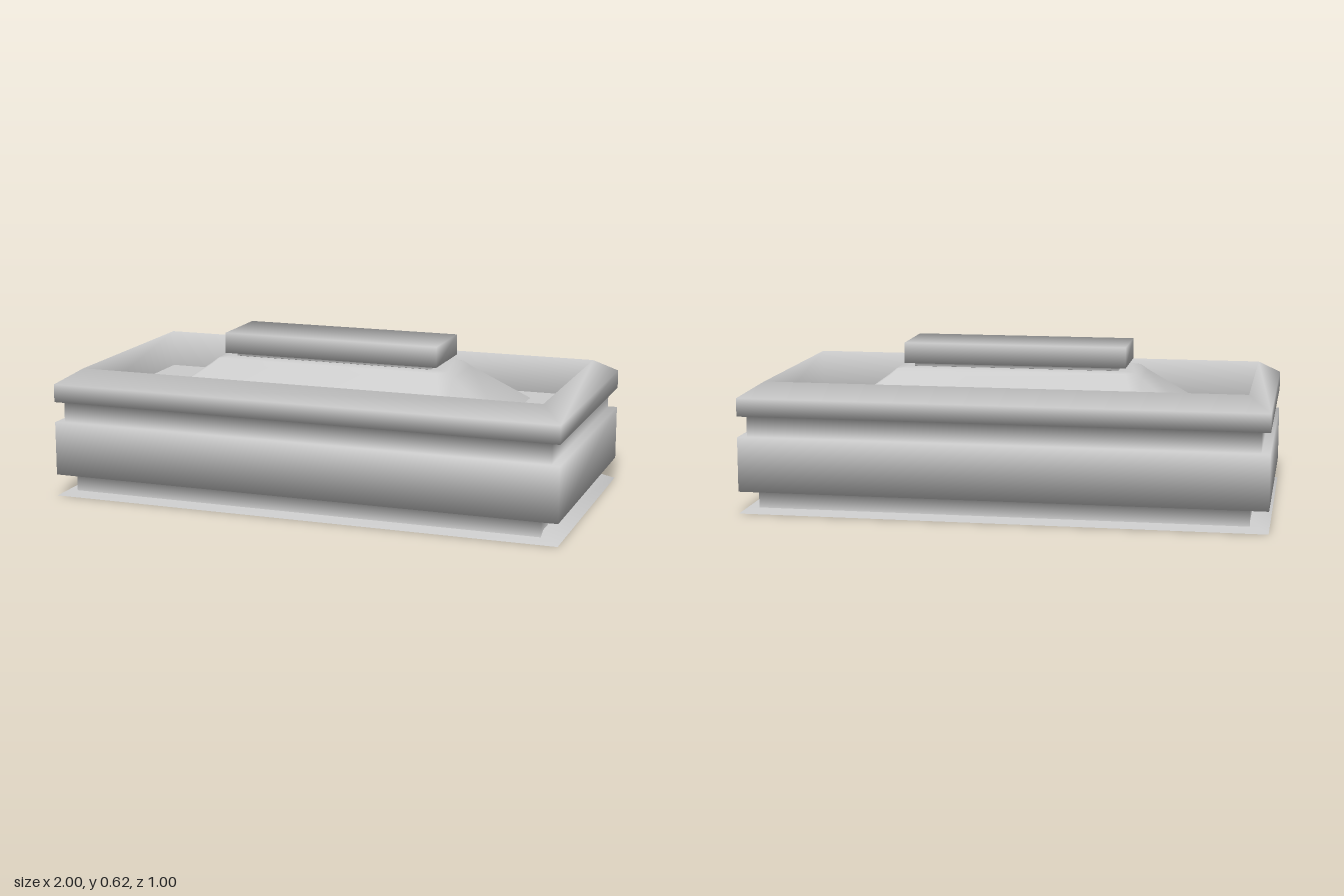
import * as THREE from 'three';

const material = new THREE.MeshStandardMaterial({ color: 0xcccccc, side: THREE.DoubleSide });

// Rectangle loop of half sizes hx, hz; a cut trims two opposite corners strongly, the others slightly
function loop(hx, hz, cut = 0) {
  if (!cut) return [[hx, hz], [hx, -hz], [-hx, -hz], [-hx, hz]];
  const nick = cut / 6;
  const half = [[hx - cut, hz], [hx, hz - cut], [hx, -hz + nick], [hx - nick, -hz]];
  return [...half, ...half.map(([x, z]) => [-x, -z])];
}

// Skin through stacked loops, each given as [hx, hz, y, cut], with evenly averaged normals
function loft(name, sections, capped = false) {
  const points = [];
  const faces = [];
  const n = loop(sections[0][0], sections[0][1], sections[0][3]).length;
  for (const [hx, hz, y, cut] of sections) {
    for (const [x, z] of loop(hx, hz, cut)) points.push(new THREE.Vector3(x, y, z));
  }
  for (let s = 0; s < sections.length - 1; s++) {
    for (let i = 0; i < n; i++) {
      const a = s * n + i;
      const b = s * n + (i + 1) % n;
      faces.push([a, b, b + n, a + n]);
    }
  }
  const top = (sections.length - 1) * n;
  if (capped) faces.push([top, top + 1, top + 2, top + 3]);

  const normals = points.map(() => new THREE.Vector3());
  for (const face of faces) {
    const [a, b, c, d] = face.map((i) => points[i]);
    const normal = c.clone().sub(a).cross(d.clone().sub(b)).normalize();
    for (const i of face) normals[i].add(normal);
  }
  const flatten = (vectors) => vectors.flatMap((v) => v.toArray());
  const geometry = new THREE.BufferGeometry();
  geometry.setAttribute('position', new THREE.Float32BufferAttribute(flatten(points), 3));
  geometry.setAttribute('normal', new THREE.Float32BufferAttribute(flatten(normals.map((v) => v.normalize())), 3));
  geometry.setIndex(faces.flatMap(([a, b, c, d]) => [a, b, c, a, c, d]));
  const mesh = new THREE.Mesh(geometry, material);
  mesh.name = name;
  return mesh;
}

export function createModel() {
  const model = new THREE.Group();
  model.name = 'steppedBox';
  const floorY = 0.35;

  // Closed underside with a shallow bevel running out to the foot flange
  model.add(loft('underside', [
    [0.29, 0.001, 0.03],
    [0.43, 0.14, 0.03],
    [0.75, 0.33, 0.045],
    [0.915, 0.415, 0.045],
    [1, 0.5, 0],
  ]));

  // Flange top, stepped outer wall, chamfered rim and inner wall of the recess
  model.add(loft('body', [
    [1, 0.5, 0],
    [0.93, 0.465, 0.002],
    [0.93, 0.465, 0.085],
    [1, 0.5, 0.085],
    [1, 0.5, 0.295],
    [0.967, 0.482, 0.295],
    [0.967, 0.482, 0.375],
    [1, 0.5, 0.375],
    [1, 0.5, 0.445],
    [0.915, 0.415, 0.498],
    [0.915, 0.415, floorY],
  ]));

  // Flat recess floor with an opening for the mound
  const toPoints = (points) => points.map(([x, z]) => new THREE.Vector2(x, -z));
  const floorShape = new THREE.Shape(toPoints(loop(0.915, 0.415)));
  floorShape.holes.push(new THREE.Path(toPoints(loop(0.69, 0.335, 0.18))));
  const floor = new THREE.Mesh(new THREE.ShapeGeometry(floorShape), material);
  floor.name = 'recessFloor';
  floor.rotation.x = -Math.PI / 2;
  floor.position.y = floorY;
  model.add(floor);

  // Sloping mound that carries the handle
  model.add(loft('mound', [
    [0.69, 0.335, floorY, 0.18],
    [0.49, 0.155, 0.497, 0.05],
    [0.465, 0.138, 0.518, 0.035],
    [0.43, 0.118, 0.524, 0.02],
    [0.4, 0.1, 0.524, 0.005],
  ]));

  // Narrow neck and bar handle
  model.add(loft('handle', [
    [0.4, 0.097, 0.524],
    [0.4, 0.097, 0.54],
    [0.432, 0.138, 0.54],
    [0.432, 0.138, 0.62],
  ], true));

  return model;
}
